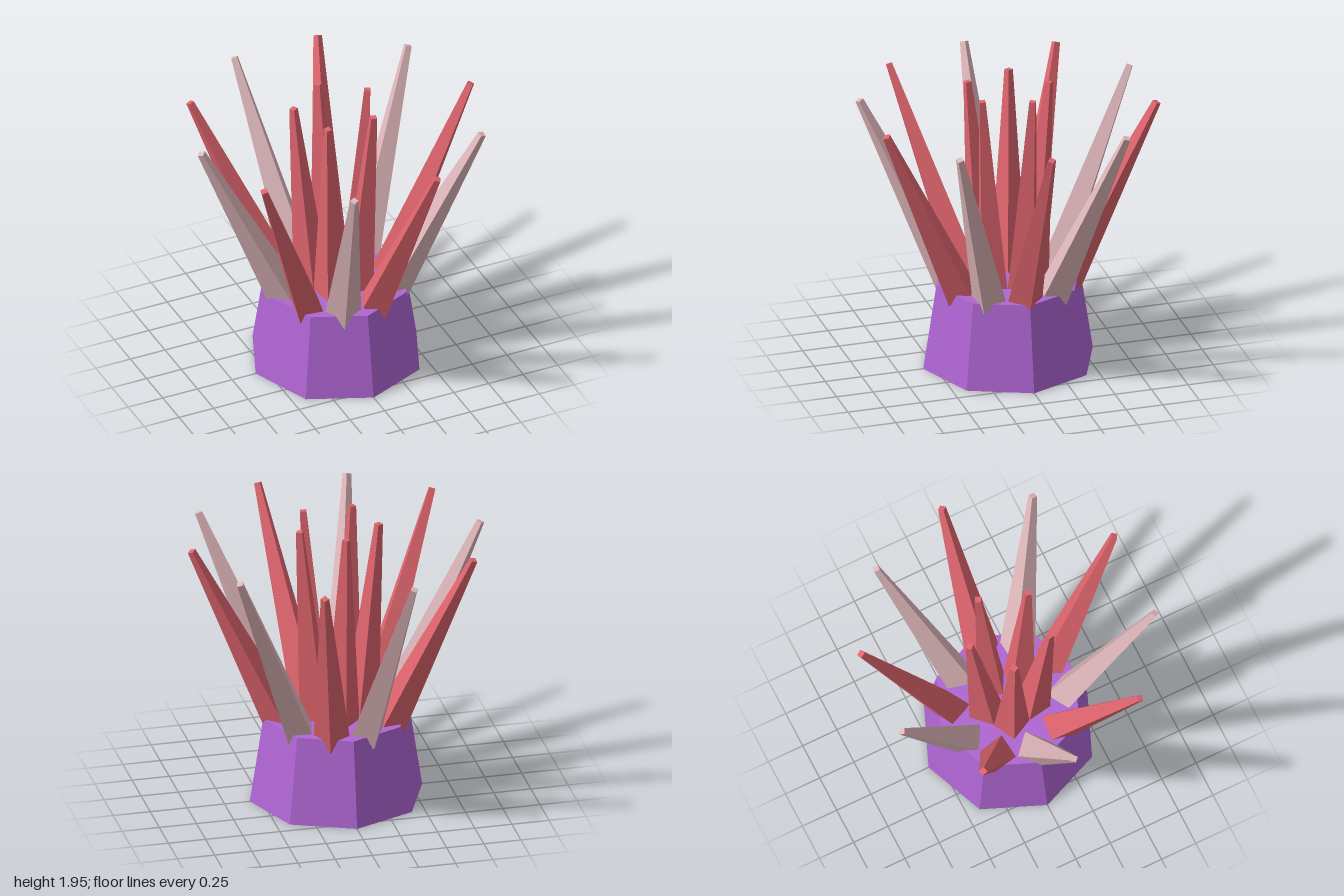
import * as THREE from 'three';

const material = (name, color) => {
  const m = new THREE.MeshStandardMaterial({ color, flatShading: true });
  m.name = name;
  return m;
};

// Four-sided tapering spike leaning outward, from (r, y) to (r, y) in its own radial plane
function spike(name, mat, angle, [r0, y0], [r1, y1]) {
  const length = Math.hypot(r1 - r0, y1 - y0);
  const mesh = new THREE.Mesh(new THREE.CylinderGeometry(0.028, 0.12, length, 4), mat);
  mesh.position.set((r0 + r1) / 2, (y0 + y1) / 2, 0);
  mesh.rotation.z = -Math.atan2(r1 - r0, y1 - y0);
  const arm = new THREE.Group();
  arm.name = name;
  arm.rotation.y = -angle;
  arm.add(mesh);
  return arm;
}

export function createModel() {
  const model = new THREE.Group();
  model.name = 'spikyPlant';
  const purple = material('purple', 0xb066d4);
  const red = material('red', 0xe0656e);
  const pink = material('pink', 0xe0b8bc);

  // Eight-sided tapered base
  const base = new THREE.Mesh(new THREE.CylinderGeometry(0.49, 0.58, 0.59, 8), purple);
  base.name = 'base';
  base.position.y = 0.295;
  model.add(base);

  // Outer ring of ten spikes in alternating colours
  for (let i = 0; i < 10; i++) {
    const mat = i % 2 ? pink : red;
    model.add(spike('outerSpike', mat, i * Math.PI / 5, [0.365, 0.55], [0.972, 1.85]));
  }

  // Inner ring of five steeper spikes
  for (let i = 0; i < 5; i++) {
    const angle = -Math.PI / 2 + i * Math.PI * 2 / 5;
    model.add(spike('innerSpike', red, angle, [0.16, 0.55], [0.28, 1.95]));
  }
  return model;
}
